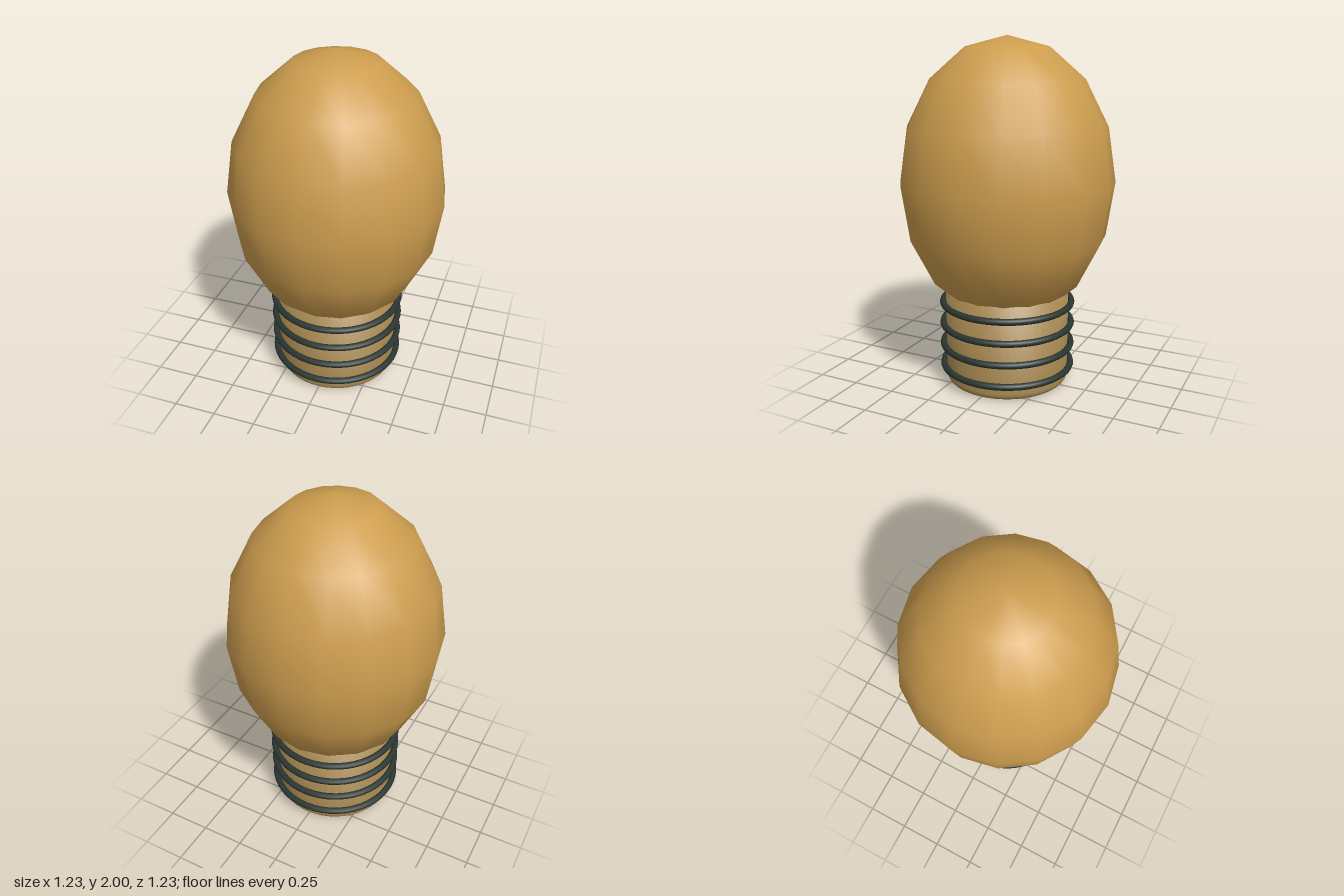
import * as THREE from 'three';

export function createModel() {
  const model = new THREE.Group();
  const material = (name, color) => {
    const m = new THREE.MeshStandardMaterial({ color });
    m.name = name;
    return m;
  };
  const amber = material('amber glass', 0xcd9d4e);
  const brass = material('dull brass', 0xa98a52);
  const dark = material('dark thread', 0x2b3631);

  const add = (name, geometry, mat, y = 0) => {
    const mesh = new THREE.Mesh(geometry, mat);
    mesh.name = name;
    mesh.position.y = y;
    model.add(mesh);
    return mesh;
  };

  // Egg-shaped glass: a coarse, smooth-shaded sphere stretched upward
  add('bulb', new THREE.SphereGeometry(1, 16, 8), amber, 1.19).scale.set(0.615, 0.81, 0.615);

  // Screw base with a rounded lower edge, closed inside the bulb
  const radius = 0.36, fillet = 0.035;
  const profile = [new THREE.Vector2(0, 0), new THREE.Vector2(radius - fillet - 0.004, 0)];
  for (let i = 0; i <= 5; i++) {
    const a = (i / 5) * Math.PI / 2;
    profile.push(new THREE.Vector2(radius - fillet + fillet * Math.sin(a), fillet - fillet * Math.cos(a)));
  }
  profile.push(new THREE.Vector2(radius, fillet + 0.005), new THREE.Vector2(radius, 0.6), new THREE.Vector2(0, 0.6));
  add('screwBase', new THREE.LatheGeometry(profile, 48), brass);

  // Evenly spaced thread rings
  for (let i = 0; i < 4; i++) {
    const ring = new THREE.TorusGeometry(0.378, 0.019, 10, 48);
    ring.rotateX(Math.PI / 2);
    add('threadRing' + (i + 1), ring, dark, 0.095 + i * 0.1275);
  }

  return model;
}
